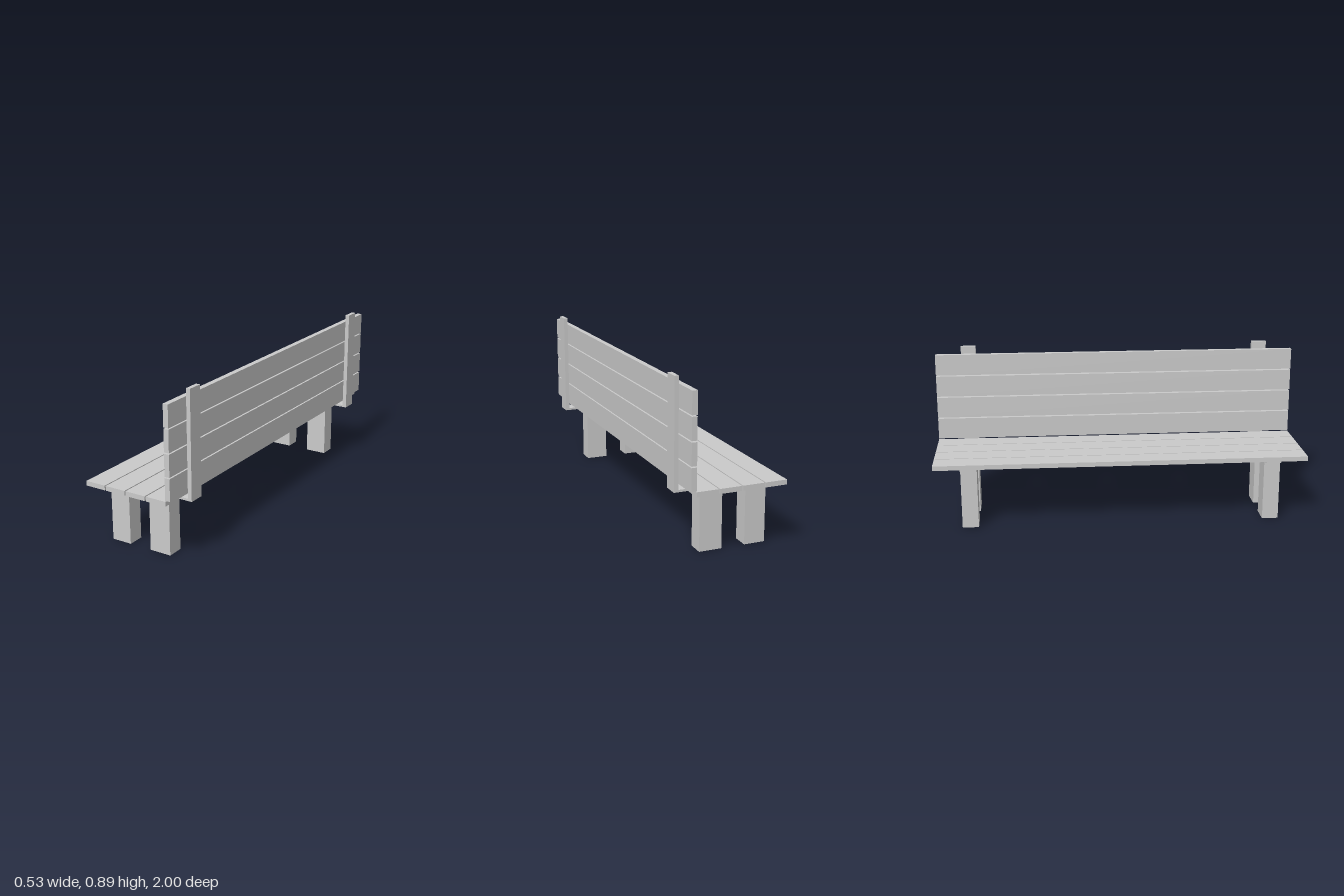
import * as THREE from 'three';

const grey = new THREE.MeshStandardMaterial({ color: 0xcccccc, flatShading: true });
const greyOpen = new THREE.MeshStandardMaterial({ color: 0xcccccc, flatShading: true, side: THREE.DoubleSide });

// Box given by its lower and upper limits on each axis
function boxBetween(name, [x0, x1], [y0, y1], [z0, z1]) {
  const geometry = new THREE.BoxGeometry(x1 - x0, y1 - y0, z1 - z0);
  geometry.translate((x0 + x1) / 2, (y0 + y1) / 2, (z0 + z1) / 2);
  const mesh = new THREE.Mesh(geometry, grey);
  mesh.name = name;
  return mesh;
}

// Hollow leg: a box without its bottom face
function makeLeg(name, xRange, zRange) {
  const leg = boxBetween(name, xRange, [0, 0.325], zRange);
  const index = Array.from(leg.geometry.index.array);
  index.splice(18, 6);
  leg.geometry.setIndex(index);
  leg.geometry.clearGroups();
  leg.material = greyOpen;
  return leg;
}

// L-shaped bracket: seat rail and back post in one strip
function makeBracket(z0, z1) {
  const profile = new THREE.Shape([
    [-0.247, 0.324], [0.128, 0.324], [0.128, 0.321], [0.263, 0.321], [0.263, 0.888],
    [0.241, 0.888], [0.241, 0.333], [0.1, 0.333], [0.05, 0.337], [-0.247, 0.337],
  ].map(([x, y]) => new THREE.Vector2(x, y)));
  const geometry = new THREE.ExtrudeGeometry(profile, { depth: z1 - z0, bevelEnabled: false });
  geometry.translate(0, 0, z0);
  const mesh = new THREE.Mesh(geometry, grey);
  mesh.name = 'railAndBackPost';
  return mesh;
}

export function createModel() {
  const bench = new THREE.Group();
  bench.name = 'bench';

  // Four seat slats and four backrest slats
  for (let i = 0; i < 4; i++) {
    const x = -0.265 + i * 0.1205;
    bench.add(boxBetween('seatSlat', [x, x + 0.114], [0.338, 0.363], [-1, 1]));
    const y = 0.368 + i * 0.1217;
    bench.add(boxBetween('backSlat', [0.21, 0.238], [y, y + 0.115], [-1, 1]));
  }

  // A bracket and two legs at each end
  for (const side of [-1, 1]) {
    const span = (a, b) => (side > 0 ? [a, b] : [-b, -a]);
    const support = new THREE.Group();
    support.name = side > 0 ? 'supportNear' : 'supportFar';
    support.add(
      makeBracket(...span(0.777, 0.859)),
      makeLeg('frontLeg', [-0.228, -0.117], span(0.771, 0.858)),
      makeLeg('backLeg', [0.008, 0.128], span(0.771, 0.858)),
    );
    bench.add(support);
  }
  return bench;
}
